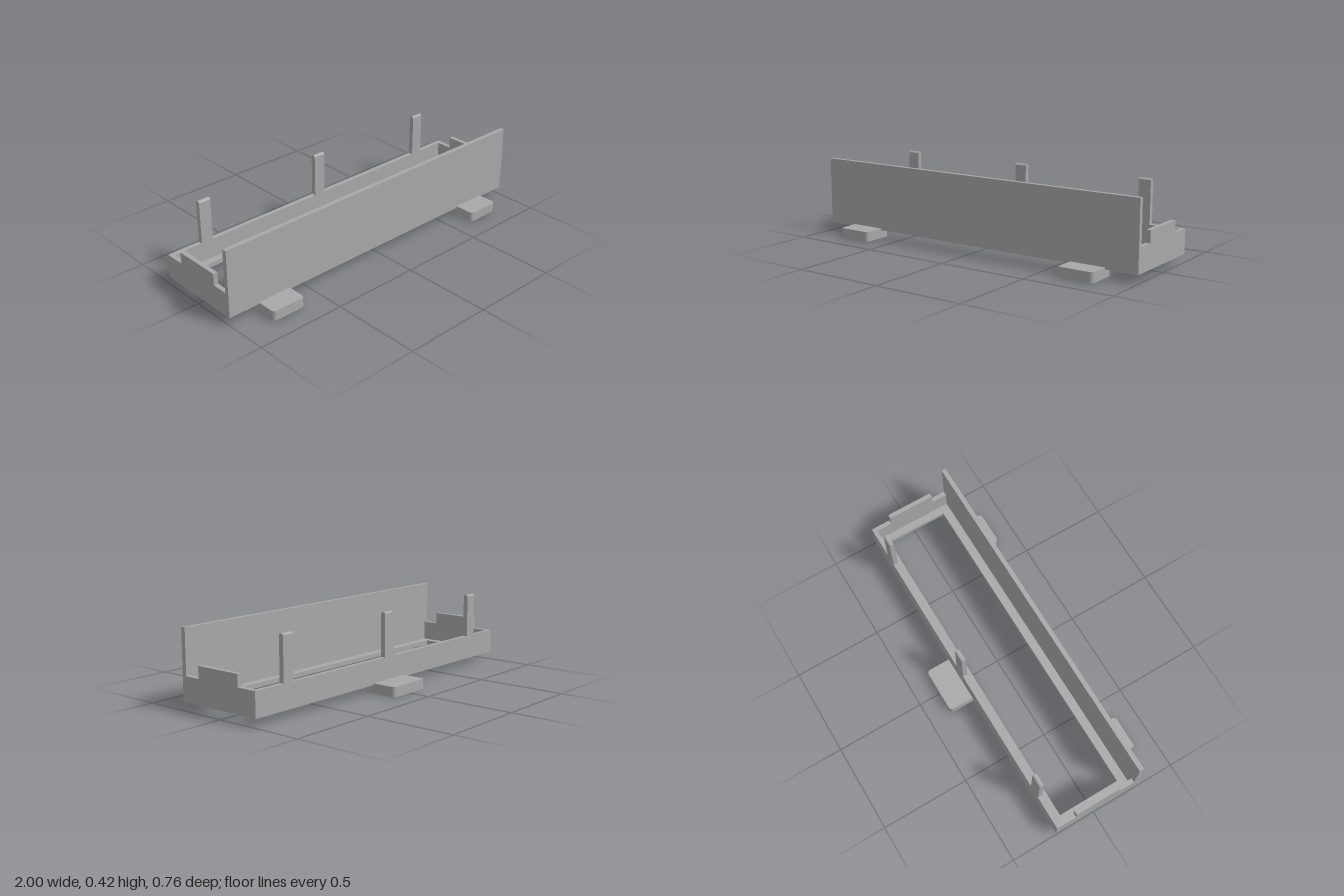
import * as THREE from 'three';

export function createModel() {
  const model = new THREE.Group();
  model.name = 'tray';
  const grey = new THREE.MeshStandardMaterial({ color: 0xa8a8a8 });
  grey.name = 'plain grey';

  const BOTTOM = 0.045, RIM = 0.178, TOP = 0.42;
  const BACK = -0.238, FRONT = 0.262, WALL = 0.025;

  function add(name, geometry, x = 0, y = 0, z = 0) {
    const mesh = new THREE.Mesh(geometry, grey);
    mesh.name = name;
    mesh.position.set(x, y, z);
    model.add(mesh);
    return mesh;
  }

  // Box given by its limits on each axis
  function block(name, x0, x1, y0, y1, z0, z1) {
    add(name, new THREE.BoxGeometry(x1 - x0, y1 - y0, z1 - z0),
      (x0 + x1) / 2, (y0 + y1) / 2, (z0 + z1) / 2);
  }

  // Shape in (z, y), extruded along x and centred on it
  function sideExtrude(shape, width) {
    const g = new THREE.ExtrudeGeometry(shape, { depth: width, bevelEnabled: false, curveSegments: 8 });
    g.translate(0, 0, -width / 2);
    g.rotateY(-Math.PI / 2); // shape x becomes z
    return g;
  }

  // Bottom ledge running round the open floor
  const ledge = new THREE.Shape([[-1, -FRONT], [1, -FRONT], [1, -BACK], [-1, -BACK]]
    .map(([x, y]) => new THREE.Vector2(x, y)));
  ledge.holes.push(new THREE.Path([[-0.933, -0.188], [-0.933, 0.172], [0.933, 0.172], [0.933, -0.188]]
    .map(([x, y]) => new THREE.Vector2(x, y))));
  const ledgeGeometry = new THREE.ExtrudeGeometry(ledge, { depth: WALL, bevelEnabled: false });
  ledgeGeometry.rotateX(-Math.PI / 2);
  add('floorLedge', ledgeGeometry, 0, BOTTOM, 0);

  // Tall front panel and low back wall
  const floor = BOTTOM + WALL;
  block('frontPanel', -1, 1, floor, TOP, FRONT - WALL, FRONT);
  block('backWall', -1, 1, floor, RIM, BACK, BACK + WALL);

  // Stepped end walls
  const end = new THREE.Shape([
    [BACK + WALL, floor], [FRONT - WALL, floor], [FRONT - WALL, RIM], [0.148, RIM],
    [0.148, 0.243], [-0.123, 0.243], [-0.123, RIM], [BACK + WALL, RIM],
  ].map(([z, y]) => new THREE.Vector2(z, y)));
  for (const side of [-1, 1]) {
    add(side > 0 ? 'leftEndWall' : 'rightEndWall', sideExtrude(end, WALL), side * (1 - WALL / 2));
  }

  // Back posts with rounded tips
  const post = new THREE.Shape();
  post.moveTo(BACK, RIM);
  post.lineTo(BACK + 0.026, RIM);
  post.lineTo(BACK + 0.026, 0.412);
  post.quadraticCurveTo(BACK + 0.022, TOP, BACK + 0.013, TOP);
  post.quadraticCurveTo(BACK + 0.004, TOP, BACK, 0.412);
  post.closePath();
  for (const x of [-0.775, 0, 0.775]) add('backPost', sideExtrude(post, 0.07), x);

  // Flat mounting feet with rounded corners
  function foot(name, x, width, z0, z1) {
    const w = width / 2, d = (z1 - z0) / 2, r = 0.02;
    const s = new THREE.Shape();
    s.moveTo(-w + r, -d);
    s.absarc(w - r, -d + r, r, -Math.PI / 2, 0);
    s.absarc(w - r, d - r, r, 0, Math.PI / 2);
    s.absarc(-w + r, d - r, r, Math.PI / 2, Math.PI);
    s.absarc(-w + r, -d + r, r, Math.PI, Math.PI * 1.5);
    const g = new THREE.ExtrudeGeometry(s, { depth: 0.055, bevelEnabled: false, curveSegments: 8 });
    g.rotateX(-Math.PI / 2);
    add(name, g, x, 0, (z0 + z1) / 2);
  }
  foot('frontFoot', -0.723, 0.197, 0.202, 0.378);
  foot('frontFoot', 0.72, 0.197, 0.202, 0.378);
  foot('backFoot', 0, 0.263, -0.378, -0.178);

  return model;
}
